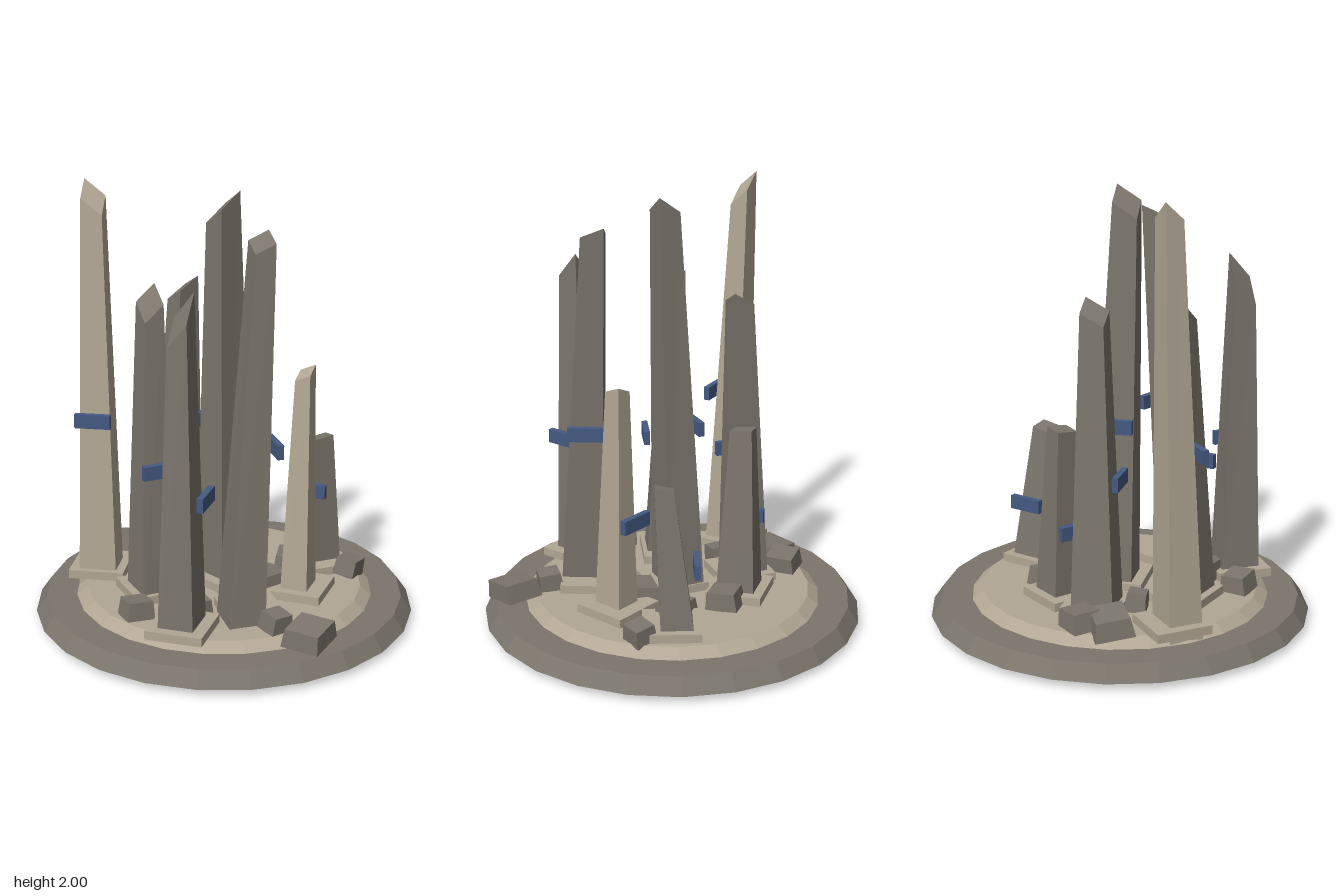
import * as THREE from 'three';

const paint = (name, color) => {
  const m = new THREE.MeshStandardMaterial({ color });
  m.name = name;
  return m;
};

export function createModel() {
  const model = new THREE.Group();
  model.name = 'stoneSpires';
  const stone = paint('darkStone', 0x7b756c);
  const pale = paint('paleStone', 0xb2a794);
  const blue = paint('blueBand', 0x455a82);

  const add = (name, geometry, material, x, y, z, yaw = 0) => {
    const flat = geometry.toNonIndexed();
    flat.computeVertexNormals();
    const mesh = new THREE.Mesh(flat, material);
    mesh.name = name;
    mesh.position.set(x, y, z);
    mesh.rotation.y = yaw;
    model.add(mesh);
    return mesh;
  };

  // Round stepped base
  add('lowerBase', new THREE.CylinderGeometry(0.83, 0.88, 0.07, 24), stone, 0, 0.065, 0);
  add('upperBase', new THREE.CylinderGeometry(0.64, 0.69, 0.04, 24), pale, 0, 0.12, 0);

  // Spire on its plinth: leaning, tapered, its broken top sloping down to one corner
  function spire(material, x, z, yaw, leanX, leanZ, width, height, drop, side, bandY, foot = 0.05) {
    const g = new THREE.BoxGeometry(width, 1, width * 0.88);
    const p = g.attributes.position;
    const c = Math.cos(yaw), s = Math.sin(yaw);
    for (let i = 0; i < p.count; i++) {
      const px = p.getX(i), pz = p.getZ(i), up = p.getY(i) > 0;
      const k = up ? 0.53 : 1, lean = up ? 1 : -1;
      const slope = drop * ((px < 0 ? 0.5 : 0) + (pz < 0 ? 0.5 : 0));
      p.setXYZ(i, (px * c + pz * s) * k + leanX * lean,
        up ? height - slope : (pz < 0 ? foot : 0.05),
        (pz * c - px * s) * k + leanZ * lean);
    }
    add('spire', g, material, x, 0, z);
    add('plinth', new THREE.BoxGeometry(0.26, 0.04, 0.26), pale, x, 0.16, z, yaw);

    // Blue band on one side; sides count quarter turns from the front
    const a = yaw + side * Math.PI / 2;
    add('band', new THREE.BoxGeometry(0.165, 0.065, 0.028), blue,
      x + Math.sin(a) * 0.11, bandY, z + Math.cos(a) * 0.11, a);
  }

  spire(pale, -0.265, -0.53, 2.07, 0.025, -0.018, 0.18, 2, 0.15, 2, 0.92);
  spire(stone, -0.54, 0.185, 0.35, -0.005, 0.008, 0.19, 1.66, 0.23, 0, 0.77);
  spire(stone, -0.31, -0.178, 1.1, 0.025, -0.012, 0.19, 1.58, 0.15, 3, 0.77);
  spire(stone, 0, 0, -0.16, -0.03, 0.018, 0.21, 1.985, 0.14, 2, 0.92, 0);
  spire(stone, -0.22, 0.315, 0.95, 0.073, 0, 0.195, 1.86, 0.08, 0, 0.92);
  spire(stone, 0.245, -0.215, 0.7, -0.005, -0.01, 0.19, 0.95, 0.02, 2, 0.49);
  spire(stone, 0.4, 0.26, -0.54, -0.03, 0.02, 0.18, 0.82, 0.03, 2, 0.45);
  spire(stone, 0.082, -0.33, -0.2, 0.005, 0.025, 0.2, 1.54, 0.11, 3, 0.75);
  spire(pale, 0.105, 0.36, 0.3, 0.017, 0, 0.15, 1.22, 0.06, 1, 0.6);

  // Fallen rubble: tilted blocks that narrow upward, placed by x, z and width
  const rocks = [
    [-0.29, 0.68, 0.18], [-0.28, 0.5, 0.11], [-0.55, -0.07, 0.13], [-0.38, 0.09, 0.17],
    [-0.1, -0.33, 0.1], [0, -0.58, 0.18], [0.13, -0.55, 0.15], [0.32, -0.08, 0.15],
    [0.3, 0.17, 0.15], [0.41, 0.43, 0.11], [0.05, 0.21, 0.17],
  ];
  rocks.forEach(([x, z, w], i) => {
    const g = new THREE.BoxGeometry(w, 0.085, w);
    const p = g.attributes.position;
    for (let j = 0; j < p.count; j++) {
      if (p.getY(j) > 0) p.setXYZ(j, p.getX(j) * 0.85, p.getY(j), p.getZ(j) * 0.9 + w * 0.05);
    }
    const rock = add('rubble', g, stone, x, 0.18, z, 0.1 - 0.6 * Math.sin(i * 0.7));
    rock.rotation.x = 0.12 * Math.sin(i * 2.3);
    rock.rotation.z = 0.12 * Math.cos(i * 1.7);
  });

  return model;
}
